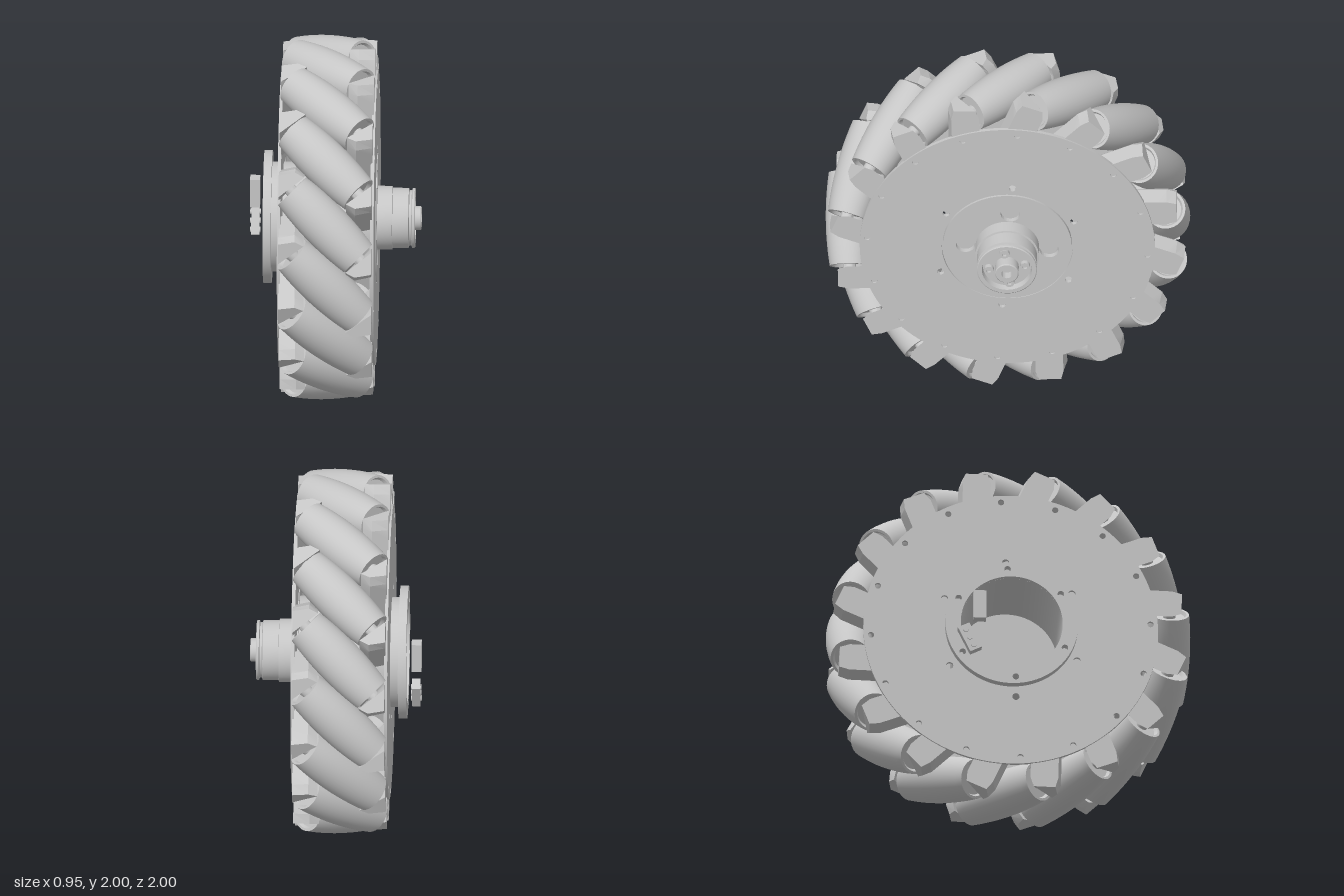
import * as THREE from 'three';
import { toCreasedNormals } from 'three/addons/utils/BufferGeometryUtils.js';

const grey = new THREE.MeshStandardMaterial({ color: 0xc6c6c6 });
grey.name = 'metal grey';

const COUNT = 16;        // rollers around the wheel
const MID_X = -0.04;     // centre plane between the two side plates
const AXIS_R = 0.872;    // distance of roller axes from the wheel centre

function add(parent, name, geometry) {
  const mesh = new THREE.Mesh(geometry, grey);
  mesh.name = name;
  parent.add(mesh);
  return mesh;
}

// Solid of revolution; points are [radius, position along the axis]
function lathe(points, segments = 48) {
  const g = new THREE.LatheGeometry(points.map(p => new THREE.Vector2(p[0], p[1])), segments);
  return toCreasedNormals(g, 0.5);
}

// Same, with the axis laid along x
const latheX = (points, segments) => lathe(points, segments).rotateZ(-Math.PI / 2);

// Evenly spaced positions on a circle, seen from +x
function ringOf(n, radius, startDeg) {
  return Array.from({ length: n }, (_, i) => {
    const a = THREE.MathUtils.degToRad(startDeg + i * 360 / n);
    return [radius * Math.cos(a), radius * Math.sin(a)];
  });
}

// Disc across the x axis; holes are [x, y, radius]
function disc(radius, x0, x1, holes) {
  const shape = new THREE.Shape().absarc(0, 0, radius, 0, Math.PI * 2, false);
  for (const [x, y, r] of holes) {
    shape.holes.push(new THREE.Path().absarc(x, y, r, 0, Math.PI * 2, true));
  }
  const g = new THREE.ExtrudeGeometry(shape, {
    depth: x1 - x0, bevelEnabled: false, curveSegments: 64,
  });
  return toCreasedNormals(g.rotateY(Math.PI / 2).translate(x0, 0, 0), 0.5);
}

// Barrel roller with recessed ends and a protruding axle
function rollerGeometry() {
  const half = 0.258;
  const points = [[0, -0.3], [0.035, -0.3], [0.035, -0.24], [0.085, -0.24], [0.095, -half]];
  for (let i = 0; i <= 12; i++) {
    const s = -half + 2 * half * i / 12;
    points.push([0.128 - s * s / (4 * AXIS_R), s]);
  }
  points.push([0.095, half], [0.085, 0.24], [0.035, 0.24], [0.035, 0.3], [0, 0.3]);
  return lathe(points, 32);
}

// Wedge block whose slanted face meets the roller end, narrowed at the tip
function bracketGeometry() {
  const outline = [[0.255, 0.132], [0.255, 0.285], [0.165, 0.305], [0.115, 0.272]];
  const shape = new THREE.Shape(outline.map(([x, z]) => new THREE.Vector2(x, -z)));
  const g = new THREE.ExtrudeGeometry(shape, { depth: 0.33, steps: 6, bevelEnabled: false });
  g.rotateX(-Math.PI / 2).translate(0, 0.605, 0);
  const p = g.attributes.position;
  for (let i = 0; i < p.count; i++) {
    if (p.getY(i) > 0.93) {
      p.setZ(i, 0.22 + (p.getZ(i) - 0.22) * 0.78);
    }
  }
  return toCreasedNormals(g, 0.3);
}

export function createModel() {
  const model = new THREE.Group();
  model.name = 'omnidirectionalWheel';
  const wheel = new THREE.Group();
  wheel.name = 'wheel';
  wheel.position.y = 1;
  model.add(wheel);

  // Rollers, each held by a bracket at both ends
  const rollerGeo = rollerGeometry();
  const bracketGeo = bracketGeometry();
  for (let i = 0; i < COUNT; i++) {
    const unit = new THREE.Group();
    unit.name = 'rollerUnit';
    unit.position.x = MID_X;
    unit.rotation.x = THREE.MathUtils.degToRad(-21 + i * 360 / COUNT);
    const roller = add(unit, 'roller', rollerGeo);
    roller.position.y = AXIS_R;
    roller.quaternion.setFromUnitVectors(
      new THREE.Vector3(0, 1, 0), new THREE.Vector3(1, 0, 1).normalize());
    add(unit, 'rightBracket', bracketGeo);
    add(unit, 'leftBracket', bracketGeo).rotation.y = Math.PI;
    wheel.add(unit);
  }

  // Side plates with rim holes and hub holes
  const plateHoles = [
    ...ringOf(COUNT, 0.77, 86).map(p => [...p, 0.017]),
    ...ringOf(6, 0.405, 86).map(p => [...p, 0.02]),
  ];
  add(wheel, 'rightPlate', disc(0.81, 0.205, 0.225, [...plateHoles, [0, 0, 0.36]]));
  add(wheel, 'leftPlate', disc(0.81, -0.305, -0.288, [...plateHoles, [0, 0, 0.29]]));

  // Raised cover in the middle of the right plate
  add(wheel, 'hubCover', disc(0.354, 0.2, 0.229,
    [...ringOf(4, 0.23, 86).map(p => [...p, 0.053]), [0, 0, 0.12]]));

  // Motor cup, open to the left, with a floor inside
  add(wheel, 'motorCup', latheX([
    [0, 0.1], [0.28, 0.1], [0.28, -0.37], [0.302, -0.37], [0.302, 0.2], [0.288, 0.2],
    [0.288, 0.12], [0, 0.12],
  ], 64));

  // Mounting flange
  add(wheel, 'flange', disc(0.365, -0.395, -0.35,
    [...ringOf(6, 0.325, 86).map(p => [...p, 0.018]), [0, 0, 0.28]]));

  // Stepped hub with a recessed end face
  add(wheel, 'hub', latheX([
    [0, 0.12], [0.11, 0.12], [0.11, 0.222], [0.175, 0.222], [0.175, 0.31], [0.165, 0.312],
    [0.165, 0.4], [0.152, 0.404], [0.152, 0.416], [0.165, 0.42], [0.165, 0.432],
    [0.16, 0.436], [0.137, 0.436], [0.132, 0.4], [0, 0.4],
  ]));
  add(wheel, 'shaft', latheX([
    [0.065, 0.4], [0.065, 0.465], [0.06, 0.47], [0.03, 0.47], [0.03, 0.42], [0, 0.42],
  ], 32));
  for (const [x, y] of ringOf(4, 0.1, 98)) {
    const screw = add(wheel, 'hubScrew', latheX([
      [0.027, 0], [0.027, 0.025], [0.014, 0.025], [0.014, 0.01], [0, 0.01],
    ], 20));
    screw.position.set(0.4, y, -x);
  }

  // Upright connector beside the motor cup
  const upper = add(wheel, 'upperConnector', new THREE.BoxGeometry(0.055, 0.165, 0.07));
  upper.position.set(-0.448, 0.072, -0.18);

  // Tilted connector with a row of pins
  const lower = new THREE.Group();
  lower.name = 'lowerConnector';
  lower.position.set(-0.448, -0.127, -0.235);
  lower.rotation.x = -0.45;
  add(lower, 'connectorBody', new THREE.BoxGeometry(0.045, 0.16, 0.07));
  for (let i = -1; i <= 1; i++) {
    const pin = add(lower, 'connectorPin', new THREE.CylinderGeometry(0.016, 0.016, 0.058, 16));
    pin.rotation.z = Math.PI / 2;
    pin.position.y = i * 0.05;
  }
  wheel.add(lower);

  return model;
}
